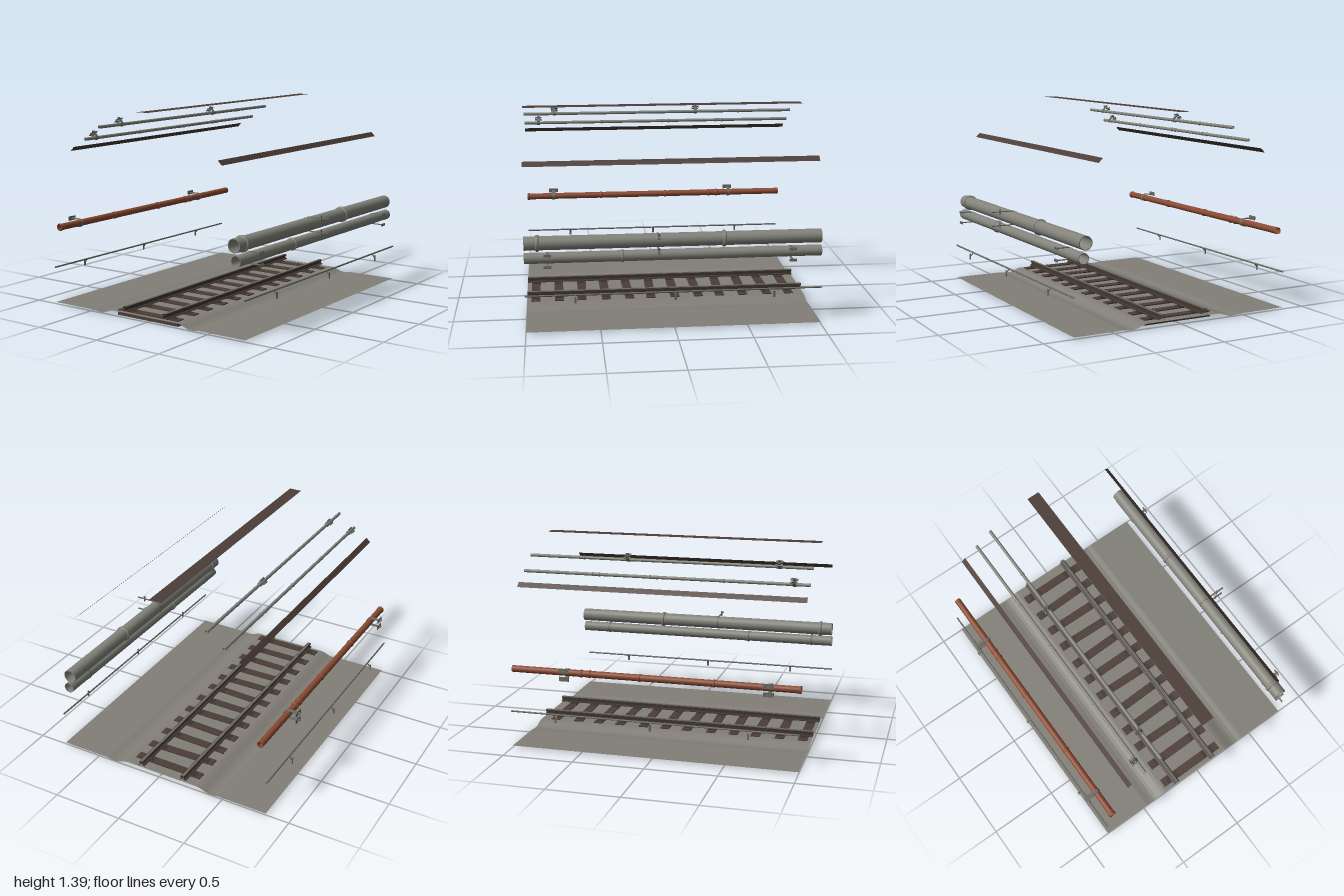
import * as THREE from 'three';

const mat = (name, color) => {
  const m = new THREE.MeshStandardMaterial({ color, side: THREE.DoubleSide });
  m.name = name;
  return m;
};

export function createModel() {
  const root = new THREE.Group();
  root.name = 'tunnelTrackSection';

  const concrete = mat('concrete', 0x817f77);
  const timber = mat('dark timber', 0x4c3d37);
  const ironBrown = mat('rusty iron', 0x40362f);
  const railSteel = mat('worn rail steel', 0x6a6862);
  const pipeGrey = mat('pipe grey', 0x83837b);
  const pipeRust = mat('rust red pipe', 0x8a4a31);
  const fitting = mat('fitting grey', 0x6c6c66);

  function add(parent, name, geo, material, x = 0, y = 0, z = 0) {
    const m = new THREE.Mesh(geo, material);
    m.name = name;
    m.position.set(x, y, z);
    parent.add(m);
    return m;
  }
  const box = (parent, name, w, h, d, material, x, y, z) =>
    add(parent, name, new THREE.BoxGeometry(w, h, d), material, x, y, z);

  function group(name, x = 0, y = 0, z = 0, parent = root) {
    const g = new THREE.Group();
    g.name = name;
    g.position.set(x, y, z);
    parent.add(g);
    return g;
  }

  // Open sheet: an x,y profile (left to right for an upward face) swept along z
  function sheet(profile, length = 2) {
    const v = [], h = length / 2;
    for (let i = 0; i < profile.length - 1; i++) {
      const [ax, ay] = profile[i], [bx, by] = profile[i + 1];
      v.push(ax, ay, h, bx, by, h, bx, by, -h, ax, ay, h, bx, by, -h, ax, ay, -h);
    }
    const g = new THREE.BufferGeometry();
    g.setAttribute('position', new THREE.Float32BufferAttribute(v, 3));
    g.computeVertexNormals();
    return g;
  }

  // Open tube along z
  const tube = (r, length, sides = 24) =>
    new THREE.CylinderGeometry(r, r, length, sides, 1, true).rotateX(Math.PI / 2);

  // Raised collar around a pipe, with rounded shoulders
  function collar(r, rise, width) {
    const h = width / 2;
    const pts = [[r, -h], [r + rise * 0.7, -h * 0.85], [r + rise, -h * 0.4],
      [r + rise, h * 0.4], [r + rise * 0.7, h * 0.85], [r, h]];
    return new THREE.LatheGeometry(pts.map(p => new THREE.Vector2(...p)), 24).rotateX(Math.PI / 2);
  }

  // Floor with shallow gutters and a raised ballast bed
  const half = [[0.81, 0.012], [0.45, 0.012], [0.43, 0.009], [0.41, 0.005], [0.38, 0.004],
    [0.355, 0.009], [0.33, 0.019], [0.305, 0.028], [0.28, 0.033]];
  const floor = [...half.map(([x, y]) => [-x - 0.02, y]),
    ...half.slice().reverse().map(([x, y]) => [x - 0.02, y])];
  add(root, 'floor', sheet(floor), concrete);

  // Sleepers with bearing plates and spikes
  const railX = [-0.19, 0.145];
  for (let i = 0; i < 12; i++) {
    const s = group('sleeper', -0.0225, 0, -0.893 + i * 0.1665);
    s.rotation.y = [0, 0.03, -0.015, -0.03, 0.02, 0, -0.03, 0.025, 0.02, -0.02, 0.01, 0][i];
    box(s, 'sleeperBeam', 0.515, 0.04, 0.064, timber, 0, 0.02, 0);
    for (const x of railX) {
      box(s, 'bearingPlate', 0.098, 0.004, 0.05, ironBrown, x + 0.0225, 0.0415, 0);
      for (const sx of [-1, 1])
        box(s, 'spike', 0.01, 0.006, 0.012, ironBrown, x + 0.0225 + sx * 0.027, 0.045, sx * 0.012);
    }
  }

  // Rails: open-ended foot, web and head, with a worn running surface
  const railSide = [[0.023, 0.043], [0.023, 0.047], [0.006, 0.052], [0.006, 0.064],
    [0.014, 0.067], [0.014, 0.077], [0.01, 0.08]];
  for (const x of railX) {
    const rail = group('rail', x);
    add(rail, 'railLeftSide', sheet(railSide.slice().reverse()), ironBrown);
    add(rail, 'railRightSide', sheet(railSide.map(([a, b]) => [-a, b])), ironBrown);
    add(rail, 'railTop', sheet([[-0.01, 0.08], [0.01, 0.08]]), railSteel);
  }

  // Ceiling strips: one flat in the crown, one sloping on each side
  add(root, 'crownStrip', sheet([[-0.068, 1.395], [0.024, 1.395]]), timber);
  add(root, 'leftCeilingStrip', sheet([[0.583, 1.13], [0.613, 1.1]]), timber);
  add(root, 'rightCeilingStrip', sheet([[-0.655, 1.1], [-0.625, 1.13]]), timber);

  // Pipe with collars, open at both ends
  function pipe(name, x, y, r, material, collars, rise, width, collarMat = material) {
    const g = group(name, x, y);
    add(g, 'pipeTube', tube(r, 2), material);
    add(g, 'pipeBore', tube(r * 0.9, 2), material);
    for (const z of [-1, 1])
      add(g, 'pipeRim', new THREE.RingGeometry(r * 0.9, r, 24), material, 0, 0, z);
    for (const z of collars) add(g, 'pipeCollar', collar(r, rise, width), collarMat, 0, 0, z);
    return g;
  }

  // Wall bracket: band round the pipe, two straps and a plate on each strap
  function bracket(parent, z, angle, r, length, plateAt, strapW, plateW, plateH) {
    const g = group('wallBracket', 0, 0, z, parent);
    g.rotation.z = angle;
    const halfBand = new THREE.CylinderGeometry(r + 0.003, r + 0.003, strapW, 16, 1, true, Math.PI, Math.PI);
    add(g, 'clampBand', halfBand.rotateX(Math.PI / 2), fitting);
    for (const s of [-1, 1]) {
      box(g, 'strap', length, 0.005, strapW, fitting, length / 2, s * (r + 0.002), 0);
      box(g, 'anchorPlate', 0.005, plateH, plateW, fitting, plateAt, s * (r + 0.002), 0);
    }
  }

  // Two large pipes on the left wall
  const big = pipe('largePipe', 0.705, 0.604, 0.047, pipeGrey, [0.912, -0.337], 0.009, 0.025);
  bracket(big, 0.11, 0, 0.047, 0.16, 0.1, 0.012, 0.014, 0.04);
  const mid = pipe('mediumPipe', 0.72, 0.506, 0.037, pipeGrey, [0.348], 0.006, 0.018);
  for (const z of [-0.79, 0.845]) bracket(mid, z, 0, 0.037, 0.098, 0.088, 0.016, 0.05, 0.018);

  // Rust red pipe on the right wall
  const red = pipe('rustPipe', -0.78, 0.555, 0.023, pipeRust,
    [-0.5, -0.44, -0.09, 0.42, 0.99], 0.004, 0.018, pipeRust);
  for (const z of [-0.6, 0.795]) bracket(red, z, Math.PI, 0.025, 0.09, 0.073, 0.024, 0.07, 0.03);

  // Two thin conduits under the right shoulder of the vault
  const low = pipe('lowerConduit', -0.518, 1.19, 0.011, pipeGrey, [-0.5, -0.45, -0.09, -0.04, 0.42], 0.003, 0.012);
  const high = pipe('upperConduit', -0.393, 1.279, 0.011, pipeGrey, [-0.6], 0.003, 0.012);
  for (const [p, zs] of [[low, [0.895]], [high, [0.775, -0.28]]])
    for (const z of zs) {
      bracket(p, z, Math.PI * 0.73, 0.012, 0.05, 0.036, 0.022, 0.05, 0.016);
    }

  // Handrail cables with angled holders on both walls
  for (const s of [-1, 1]) {
    const g = group(s > 0 ? 'leftCable' : 'rightCable', s > 0 ? 0.786 : -0.83, 0.264);
    add(g, 'cable', tube(0.006, 2, 10), fitting);
    for (const z of [-0.667, 0, 0.667]) {
      box(g, 'holderPlate', 0.004, 0.044, 0.014, fitting, s * 0.025, -0.029, z);
      const arm = box(g, 'holderArm', 0.036, 0.004, 0.01, fitting, s * 0.012, -0.014, z);
      arm.rotation.z = -s * 0.85;
    }
  }

  return root;
}
